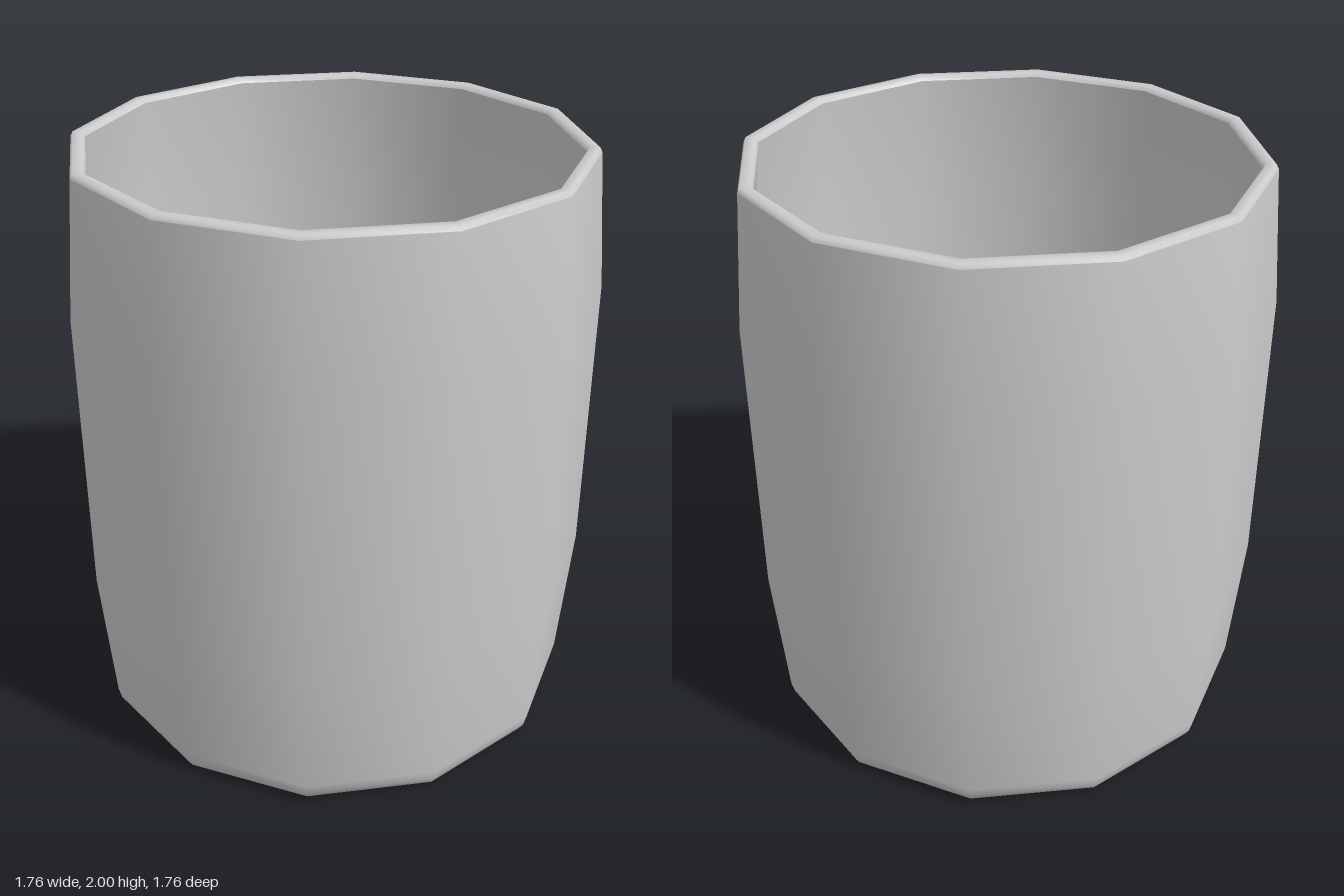
import * as THREE from 'three';

const SIDES = 12;

export function createModel() {
  const group = new THREE.Group();
  group.name = 'cup';
  const material = new THREE.MeshStandardMaterial({ color: 0xcccccc });

  // Each strip is smooth within itself; edges between strips stay sharp.
  const addStrip = (name, profile) => {
    const points = profile.map(([r, y]) => new THREE.Vector2(r, y));
    const mesh = new THREE.Mesh(new THREE.LatheGeometry(points, SIDES), material);
    mesh.name = name;
    group.add(mesh);
  };

  // Flat underside
  addStrip('base', [[0, 0], [0.78, 0]]);
  // Rounded foot and gently bulging outer wall
  addStrip('outerWall', [
    [0.78, 0], [0.815, 0.015], [0.83, 0.04], [0.84, 0.08],
    [0.88, 0.57], [0.88, 1.54], [0.841, 1.985],
  ]);
  // Narrow bevelled lip
  addStrip('rim', [[0.841, 1.985], [0.833, 2], [0.803, 2], [0.793, 1.985]]);
  // Inner wall follows the outer bulge
  addStrip('innerWall', [[0.793, 1.985], [0.832, 1.54], [0.832, 0.57], [0.795, 0.1], [0.78, 0.06]]);
  // Inside floor
  addStrip('floor', [[0.78, 0.06], [0, 0.06]]);

  return group;
}
